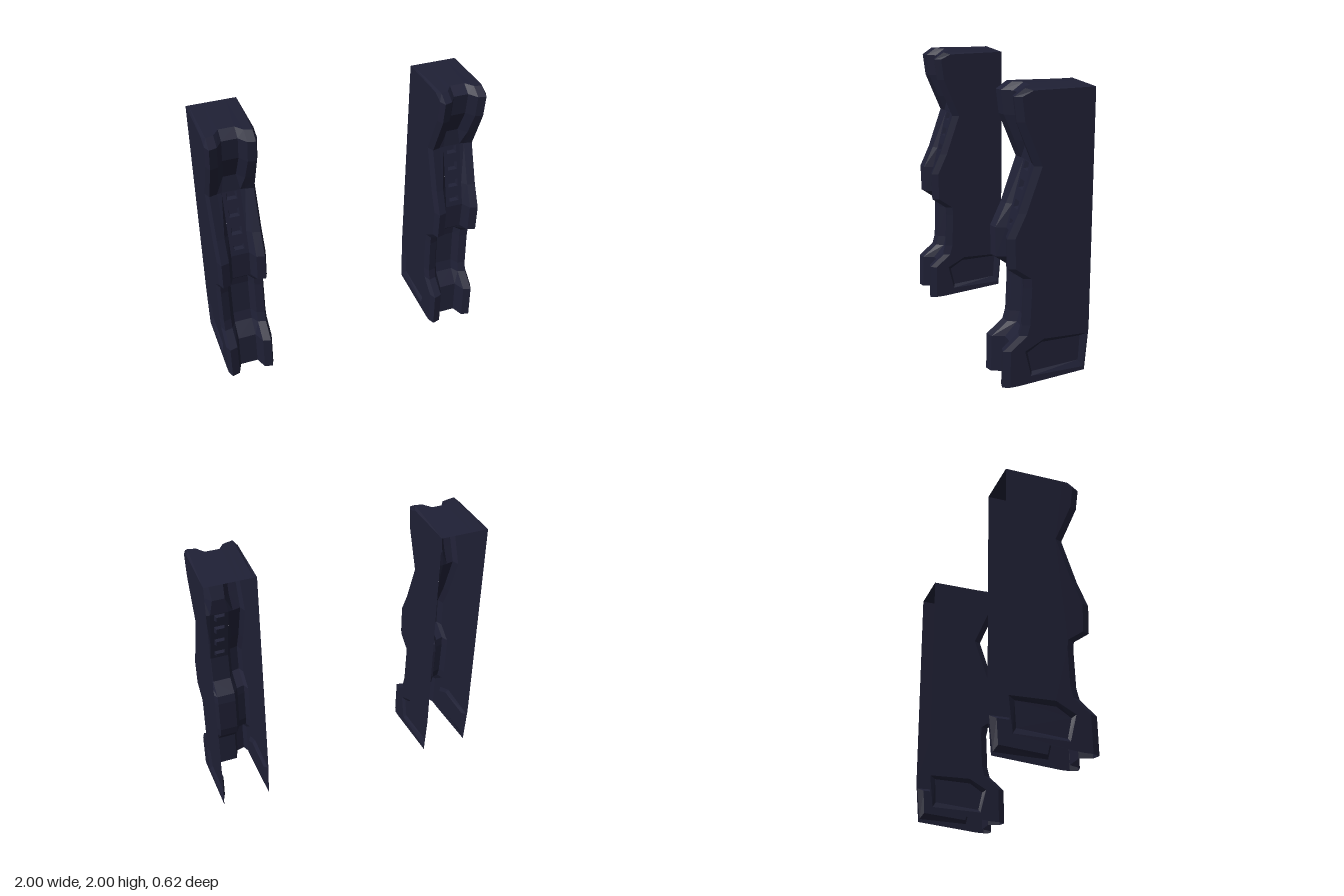
import * as THREE from 'three';

const HALF = 0.175; // half width of a pillar
const material = new THREE.MeshStandardMaterial({ color: 0x1f2035, flatShading: true, side: THREE.DoubleSide });

// Front stations going up: height, rail depth, groove depth, groove half width at rail and floor
const stations = [
  [0, 0.31, 0.21], [0.26, 0.305, 0.205], [0.355, 0.19, 0.12], [0.43, 0.17, 0.1],
  [0.69, 0.16, 0.09], [0.755, 0.165, 0.1], [0.835, 0.275, 0.19], [1.04, 0.28, 0.2],
  [1.2, 0.205, 0.158], [1.5, 0.1, 0.08], [1.62, 0.15, 0.07, 0.09, 0.045],
  [1.79, 0.22, 0.14, 0.1, 0.055], [1.95, 0.24, 0.16, 0.1, 0.055],
  [2, 0.165, 0.09, 0.1, 0.055], [1.985, -0.305, -0.305, 0.1, 0.055],
];
const isBack = (s) => s[1] < 0;
const sideZ = (s) => (isBack(s) ? s[1] : s[1] - 0.05);
const sideY = (s) => Math.min(s[0], 1.985);

function mesh(name, geometry) {
  const m = new THREE.Mesh(geometry, material);
  m.name = name;
  return m;
}

function fromTriangles(points) {
  const g = new THREE.BufferGeometry().setFromPoints(points);
  g.computeVertexNormals();
  return g;
}

const quad = (out, a, b, c, d) => out.push(a, b, c, a, c, d);

// Recess: sloping walls from the outer loop to the inner loop, closed by a floor
function recess(outer, inner) {
  const out = [];
  outer.forEach((p, k) => {
    const n = (k + 1) % outer.length;
    quad(out, p, outer[n], inner[n], inner[k]);
    if (k > 0 && k < outer.length - 1) out.push(inner[0], inner[k], inner[k + 1]);
  });
  return fromTriangles(out);
}

// Grooved front and top: one cross-section per station
function frontGeometry() {
  const rows = stations.map((s) => {
    const [y, rail, groove, railIn = 0.098, floor = 0.065] = s;
    const inner = isBack(s) ? rail : Math.max(rail - 0.015, groove);
    const half = [[floor, y, groove], [railIn, y, inner], [0.155, y, rail], [HALF, sideY(s), sideZ(s)]];
    return [
      ...half.slice().reverse().map(([x, h, z]) => new THREE.Vector3(-x, h, z)),
      ...half.map((p) => new THREE.Vector3(...p)),
    ];
  });
  const out = [];
  for (let i = 0; i < rows.length - 1; i++) {
    for (let j = 0; j < 7; j++) {
      const ventBand = j === 3 && stations[i][0] >= 1.04 && stations[i + 1][0] <= 1.5;
      if (ventBand) continue;
      quad(out, rows[i][j], rows[i][j + 1], rows[i + 1][j + 1], rows[i + 1][j]);
    }
  }
  return fromTriangles(out);
}

// Sloping strip with four square vents
function ventStrip() {
  const group = new THREE.Group();
  group.name = 'ventStrip';
  const slopeZ = (y) => 0.2 - ((y - 1.04) * 0.12) / 0.46;
  const rect = (w, y0, y1) => [[-w, y0], [w, y0], [w, y1], [-w, y1]];
  const to2 = (pts) => pts.map((p) => new THREE.Vector2(...p));
  const shape = new THREE.Shape(to2(rect(0.065, 1.04, 1.5)));
  for (const [y, h] of [[1.095, 0.018], [1.215, 0.027], [1.345, 0.029], [1.467, 0.027]]) {
    const hole = rect(0.037, y - h, y + h);
    shape.holes.push(new THREE.Path(to2(hole)));
    const outer = hole.map(([x, v]) => new THREE.Vector3(x, v, slopeZ(v)));
    const inner = rect(0.029, y - h + 0.007, y + h - 0.007)
      .map(([x, v]) => new THREE.Vector3(x, v, slopeZ(v) - 0.03));
    group.add(mesh('vent', recess(outer, inner)));
  }
  const g = new THREE.ShapeGeometry(shape);
  const p = g.attributes.position;
  for (let i = 0; i < p.count; i++) p.setZ(i, slopeZ(p.getY(i)));
  g.computeVertexNormals();
  group.add(mesh('strip', g));
  return group;
}

// Flat side wall with a recessed panel near the foot
function sideWall() {
  const group = new THREE.Group();
  group.name = 'sideWall';
  const outline = stations.map((s) => [sideZ(s), sideY(s)]);
  outline.push([-0.305, 0.35], [-0.28, 0.04], [0.2, 0]);
  const outerPts = [[0.155, 0.245], [0.11, 0.06], [-0.27, 0.065], [-0.295, 0.31], [0.02, 0.317]];
  const innerPts = [[0.13, 0.225], [0.1, 0.085], [-0.24, 0.11], [-0.25, 0.29], [0.03, 0.287]];
  const to2 = (pts) => pts.map(([z, y]) => new THREE.Vector2(-z, y));
  const shape = new THREE.Shape(to2(outline));
  shape.holes.push(new THREE.Path(to2(outerPts)));
  const wall = new THREE.ShapeGeometry(shape);
  wall.rotateY(Math.PI / 2).translate(HALF, 0, 0);
  const at = (x) => ([z, y]) => new THREE.Vector3(x, y, z);
  group.add(mesh('wall', wall));
  group.add(mesh('footPanel', recess(outerPts.map(at(HALF)), innerPts.map(at(HALF - 0.02)))));
  return group;
}

// One pillar, open at the back and underneath
function pillar(name) {
  const group = new THREE.Group();
  group.name = name;
  const left = sideWall();
  const right = sideWall();
  right.scale.x = -1;
  group.add(mesh('frontAndTop', frontGeometry()), ventStrip(), left, right);
  return group;
}

export function createModel() {
  const model = new THREE.Group();
  model.name = 'pillarPair';
  for (const [name, x] of [['leftPillar', 0.825], ['rightPillar', -0.825]]) {
    const p = pillar(name);
    p.position.x = x;
    model.add(p);
  }
  return model;
}
